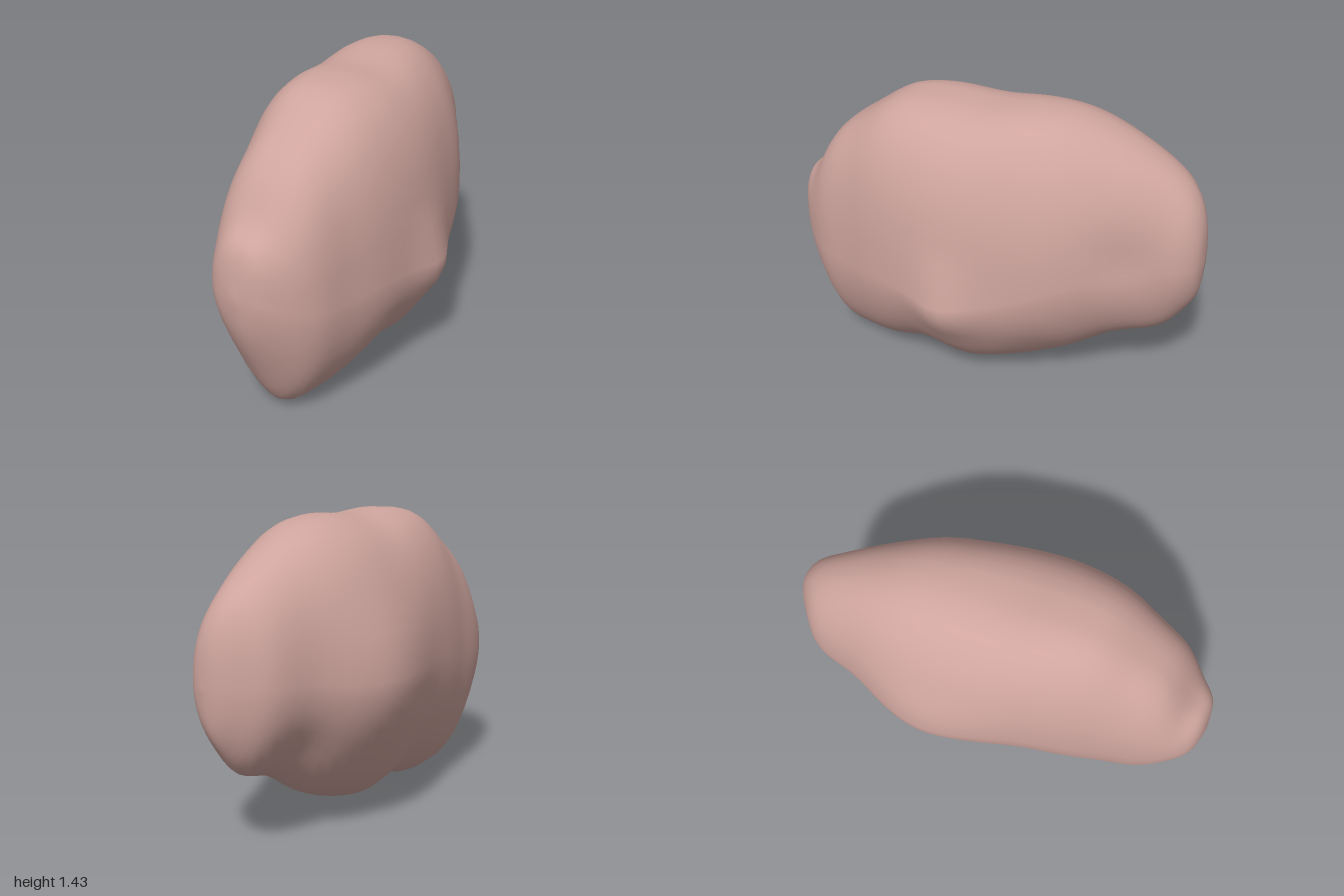
import * as THREE from 'three';

// Cross-sections along x: [x, topY, topZ, bottomY, bottomZ, frontZ, frontY, backZ, backY]
const SECTIONS = [
  [-1.0, 0.68, 0.08, 0.62, 0.08, 0.1, 0.65, 0.06, 0.65],
  [-0.97, 0.86, 0.08, 0.46, 0.09, 0.2, 0.64, -0.05, 0.65],
  [-0.88, 0.96, 0.06, 0.25, 0.1, 0.29, 0.58, -0.13, 0.64],
  [-0.76, 1.15, 0.05, 0.04, 0.1, 0.36, 0.56, -0.19, 0.65],
  [-0.6, 1.28, 0.04, 0.0, 0.09, 0.4, 0.56, -0.245, 0.67],
  [-0.43, 1.39, 0.02, 0.01, 0.07, 0.44, 0.57, -0.31, 0.7],
  [-0.24, 1.42, 0.0, 0.06, 0.04, 0.46, 0.57, -0.37, 0.73],
  [-0.02, 1.41, -0.02, 0.02, 0.02, 0.45, 0.57, -0.43, 0.74],
  [0.22, 1.43, -0.05, 0.08, -0.02, 0.39, 0.6, -0.465, 0.74],
  [0.42, 1.41, -0.08, 0.17, -0.06, 0.32, 0.68, -0.46, 0.75],
  [0.62, 1.33, -0.12, 0.3, -0.1, 0.2, 0.75, -0.42, 0.78],
  [0.82, 1.21, -0.15, 0.37, -0.14, 0.06, 0.78, -0.38, 0.79],
  [0.93, 1.1, -0.16, 0.5, -0.15, 0.0, 0.78, -0.28, 0.79],
  [0.985, 0.96, -0.14, 0.62, -0.14, -0.06, 0.78, -0.2, 0.79],
  [1.0, 0.79, -0.13, 0.77, -0.13, -0.12, 0.78, -0.14, 0.78],
];

// Swellings (positive) and hollows (negative): [x, y, z, radius, height]
const BUMPS = [
  [-0.02, 0.53, 0.46, 0.16, 0.06],
  [0.2, 0.74, -0.46, 0.28, 0.06],
  [0.7, 0.85, 0.13, 0.15, -0.025],
  [0.3, 0.25, 0.22, 0.18, -0.02],
  [0.62, 0.45, -0.32, 0.16, -0.025],
];

const spline = (a, b, c, d, t) =>
  0.5 * (2 * b + (c - a) * t + (2 * a - 5 * b + 4 * c - d) * t * t + (3 * b - a - 3 * c + d) * t * t * t);

function sectionAt(u) {
  const last = SECTIONS.length - 1;
  const i = Math.min(Math.floor(u), last - 1);
  const row = (k) => SECTIONS[THREE.MathUtils.clamp(k, 0, last)];
  return row(i).map((b, n) => spline(row(i - 1)[n], b, row(i + 1)[n], row(i + 2)[n], u - i));
}

// Four rounded quarters meet at the top, front, bottom and back of a section.
// A low power gives a boxy shoulder, a high one a wedge.
function pointOn(section, angle) {
  const [x, topY, topZ, botY, botZ, frontZ, frontY, backZ, backY] = section;
  const c = Math.cos(angle), s = Math.sin(angle);
  const side = c >= 0 ? [frontZ, frontY] : [backZ, backY];
  const cap = s >= 0 ? [topY, topZ] : [botY, botZ];
  const shoulder = c >= 0 ? 0.72 + 0.2 * THREE.MathUtils.smoothstep(x, -0.2, 0.6) : 0.92;
  const power = s >= 0 ? shoulder : 1.12;
  const a = Math.pow(Math.abs(c), power), b = Math.pow(Math.abs(s), power);
  return new THREE.Vector3(x, side[1] + (cap[0] - side[1]) * b, cap[1] + (side[0] - cap[1]) * a);
}

function createRockGeometry() {
  const rings = 56, sides = 48;
  const positions = [], indices = [];
  for (let i = 0; i <= rings; i++) {
    const section = sectionAt((i / rings) * (SECTIONS.length - 1));
    const center = new THREE.Vector3(section[0] * 0.8, 0.7, -section[0] * 0.1);
    for (let j = 0; j < sides; j++) {
      const p = pointOn(section, (j / sides) * Math.PI * 2);
      const outward = p.clone().sub(center).normalize();
      let push = 0;
      for (const [x, y, z, r, height] of BUMPS) {
        const d2 = (p.x - x) ** 2 + (p.y - y) ** 2 + (p.z - z) ** 2;
        push += height * Math.exp(-d2 / (r * r));
      }
      p.addScaledVector(outward, push);
      positions.push(p.x, Math.max(p.y, 0), p.z);
    }
  }
  for (let i = 0; i < rings; i++) {
    for (let j = 0; j < sides; j++) {
      const a = i * sides + j, b = i * sides + ((j + 1) % sides);
      indices.push(a, a + sides, b, b, a + sides, b + sides);
    }
  }
  // Close both ends
  const end = rings * sides;
  for (let j = 1; j < sides - 1; j++) {
    indices.push(0, j, j + 1, end, end + j + 1, end + j);
  }
  const geometry = new THREE.BufferGeometry();
  geometry.setAttribute('position', new THREE.Float32BufferAttribute(positions, 3));
  geometry.setIndex(indices);
  geometry.computeVertexNormals();
  return geometry;
}

export function createModel() {
  const group = new THREE.Group();
  group.name = 'rock';
  const stone = new THREE.MeshStandardMaterial({ color: 0xcfa59e });
  stone.name = 'pinkStone';
  const body = new THREE.Mesh(createRockGeometry(), stone);
  body.name = 'rockBody';
  group.add(body);
  return group;
}
